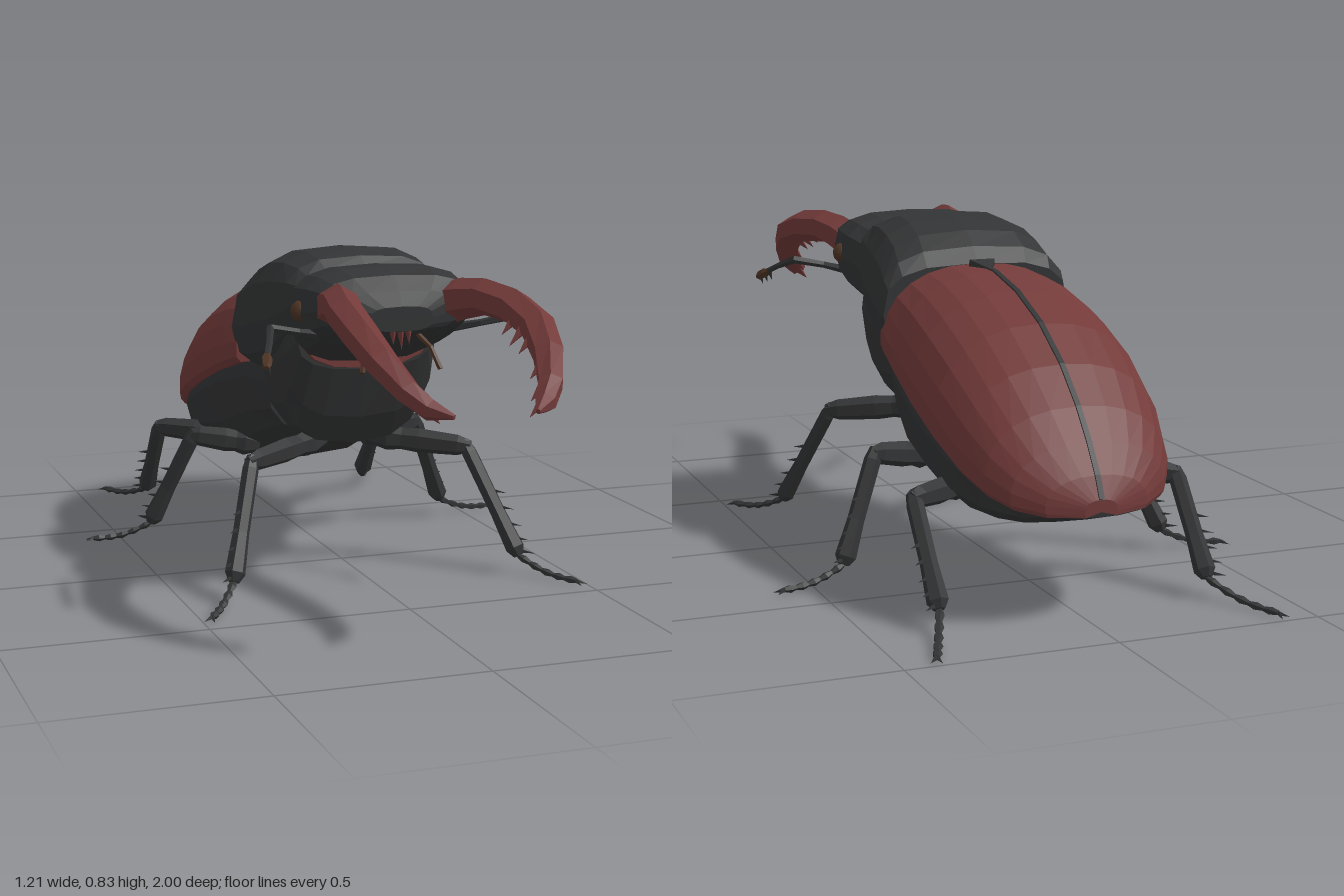
import * as THREE from 'three';

const V = (x, y, z) => new THREE.Vector3(x, y, z);

// Skin a list of closed rings, with a fan cap on both ends, in flat facets
function loft(rings) {
  const pos = [], tri = (...p) => p.forEach(v => pos.push(v.x, v.y, v.z));
  const n = rings[0].length;
  const mid = r => r.reduce((s, p) => s.add(p), V(0, 0, 0)).divideScalar(n);
  const first = rings[0], last = rings[rings.length - 1], c0 = mid(first), c1 = mid(last);
  for (let j = 0; j < n; j++) {
    const k = (j + 1) % n;
    for (let i = 0; i < rings.length - 1; i++) {
      const a = rings[i], b = rings[i + 1];
      tri(a[j], b[j], a[k]);
      tri(a[k], b[j], b[k]);
    }
    tri(c0, first[j], first[k]);
    tri(c1, last[k], last[j]);
  }
  const g = new THREE.BufferGeometry();
  g.setAttribute('position', new THREE.Float32BufferAttribute(pos, 3));
  g.computeVertexNormals();
  return g;
}

// Rounded cross-section point: half width w, top, widest height and bottom
function arcPoint(a, z, w, top, mid, bottom, p) {
  const c = Math.cos(a), s = Math.sin(a);
  const h = s > 0 ? top - mid : mid - bottom;
  return V(w * Math.sign(c) * Math.abs(c) ** p, mid + h * Math.sign(s) * Math.abs(s) ** p, z);
}

// Body segment from stations [z, halfWidth, top, widest, bottom], front to back
const segment = (stations, p = 0.75, n = 16) => loft(stations.map(s =>
  Array.from({ length: n }, (_, j) => arcPoint((j / n) * Math.PI * 2, ...s, p))));

// Tapered tube through points [x, y, z, radius]; flat scales its height
function limb(points, sides = 6, flat = 1) {
  const c = points.map(p => V(p[0], p[1], p[2]));
  return loft(c.map((p, i) => {
    const t = c[Math.min(i + 1, c.length - 1)].clone().sub(c[Math.max(i - 1, 0)]).normalize();
    const ref = Math.abs(t.y) > 0.95 ? V(0, 0, 1) : V(0, 1, 0);
    const v = ref.addScaledVector(t, -ref.dot(t)).normalize();
    const u = t.clone().cross(v);
    return Array.from({ length: sides }, (_, j) => {
      const a = ((j + 0.5) / sides) * Math.PI * 2, r = points[i][3];
      return p.clone().addScaledVector(u, Math.cos(a) * r).addScaledVector(v, Math.sin(a) * r * flat);
    });
  }));
}

// Small spike growing from a base point
function spike(base, dir, length, radius) {
  const g = new THREE.ConeGeometry(radius, length, 4).toNonIndexed();
  g.computeVertexNormals();
  g.translate(0, length / 2, 0);
  g.applyQuaternion(new THREE.Quaternion().setFromUnitVectors(V(0, 1, 0), dir.clone().normalize()));
  return g.translate(base.x, base.y, base.z);
}

export function createModel() {
  const model = new THREE.Group();
  model.name = 'beetle';
  const material = (name, color) => {
    const m = new THREE.MeshStandardMaterial({ color });
    m.name = name;
    return m;
  };
  const black = material('black shell', 0x333435);
  const red = material('chestnut red', 0x733b3a);
  const brown = material('dark brown', 0x503626);
  const add = (name, geometry, mat, parent = model) => {
    const m = new THREE.Mesh(geometry, mat);
    m.name = name;
    parent.add(m);
    return m;
  };

  // Belly, chest, neck shield and head
  add('abdomen', segment([
    [-0.04, 0.19, 0.6, 0.48, 0.335], [-0.15, 0.225, 0.6, 0.48, 0.285], [-0.3, 0.252, 0.6, 0.44, 0.22],
    [-0.45, 0.258, 0.55, 0.39, 0.2], [-0.6, 0.25, 0.5, 0.345, 0.193], [-0.72, 0.225, 0.42, 0.305, 0.208],
    [-0.82, 0.17, 0.33, 0.275, 0.235], [-0.88, 0.08, 0.28, 0.27, 0.255]]), black);
  add('chest', segment([
    [0.185, 0.18, 0.77, 0.62, 0.54], [0.145, 0.2, 0.78, 0.58, 0.41], [0.1, 0.2, 0.78, 0.56, 0.335],
    [0.03, 0.2, 0.78, 0.54, 0.325], [-0.04, 0.2, 0.75, 0.52, 0.35], [-0.08, 0.17, 0.7, 0.52, 0.42]]), black);
  add('pronotum', segment([
    [0.175, 0.19, 0.795, 0.71, 0.64], [0.15, 0.208, 0.822, 0.69, 0.6], [0.07, 0.223, 0.837, 0.66, 0.53],
    [-0.02, 0.236, 0.83, 0.64, 0.495], [-0.09, 0.242, 0.805, 0.62, 0.485], [-0.14, 0.252, 0.77, 0.61, 0.495],
    [-0.162, 0.248, 0.73, 0.61, 0.52]], 0.65), black);
  add('neck', segment([[0.2, 0.182, 0.79, 0.67, 0.545], [0.17, 0.186, 0.79, 0.67, 0.54]]), red);
  add('head', segment([
    [0.435, 0.08, 0.73, 0.7, 0.67], [0.418, 0.15, 0.765, 0.715, 0.665], [0.385, 0.195, 0.8, 0.72, 0.655],
    [0.32, 0.214, 0.815, 0.71, 0.62], [0.24, 0.217, 0.812, 0.7, 0.585], [0.193, 0.19, 0.797, 0.68, 0.56]], 0.65), black);
  for (const x of [-0.02, 0, 0.02])
    add('lipTooth', spike(V(x, 0.675, 0.425), V(0, -1, 0.2), x ? 0.038 : 0.05, 0.01), red);

  // Wing cases: two solid halves meeting along the back [z, halfWidth, top, edge]
  const shell = [
    [-0.13, 0.246, 0.7, 0.52], [-0.16, 0.252, 0.73, 0.51], [-0.28, 0.264, 0.725, 0.47],
    [-0.42, 0.272, 0.695, 0.42], [-0.56, 0.27, 0.64, 0.37], [-0.68, 0.256, 0.565, 0.325],
    [-0.77, 0.229, 0.485, 0.295], [-0.83, 0.19, 0.415, 0.278], [-0.875, 0.125, 0.35, 0.27],
    [-0.9, 0.04, 0.3, 0.272]];
  for (const side of [1, -1]) {
    const from = side > 0 ? -0.35 : Math.PI / 2;
    add(side > 0 ? 'leftWingCase' : 'rightWingCase', loft(shell.map(([z, w, top, edge]) => {
      const middle = edge + (top - edge) * 0.12;
      const ring = Array.from({ length: 9 }, (_, j) =>
        arcPoint(from + (j / 8) * (Math.PI / 2 + 0.35), z, w, top, middle, edge - 0.03, 0.85));
      return [...ring, V(0, edge, z)];
    })), red);
  }
  add('wingSeam', limb(shell.slice(1).map(([z, , top]) => [0, top, z, 0.009]), 4, 0.6), black);
  add('scutellum', limb([[0, 0.735, -0.175, 0.03], [0, 0.736, -0.195, 0.048], [0, 0.728, -0.25, 0.006]], 4, 0.25), black);

  // Paths for one leg: hip, knee, ankle and toe
  const legs = {
    front: [[0.09, 0.335, 0.04], [0.29, 0.315, 0.15], [0.38, 0.05, 0.29], [0.475, 0.012, 0.435]],
    middle: [[0.17, 0.275, -0.255], [0.32, 0.3, -0.295], [0.425, 0.05, -0.365], [0.58, 0.012, -0.39]],
    hind: [[0.17, 0.255, -0.49], [0.335, 0.265, -0.61], [0.335, 0.05, -0.775], [0.415, 0.012, -0.97]],
  };

  for (const side of [1, -1]) {
    const label = side > 0 ? 'left' : 'right';
    const P = (x, y, z) => V(x * side, y, z);
    const path = pts => pts.map(([x, ...rest]) => [x * side, ...rest]);

    for (const [name, joints] of Object.entries(legs)) {
      const leg = new THREE.Group();
      leg.name = `${label} ${name} leg`;
      model.add(leg);
      const [hip, knee, ankle, toe] = joints.map(j => P(...j));
      const along = (a, b, stops) => limb(stops.map(([t, r]) => [...a.clone().lerp(b, t).toArray(), r]));
      add('hipJoint', along(hip, knee, [[-0.15, 0.02], [0.1, 0.035], [0.35, 0.025]]), black, leg);
      add('thigh', along(hip, knee, [[0, 0.024], [0.45, 0.032], [0.9, 0.027], [1.05, 0.016]]), black, leg);
      add('shin', along(knee, ankle, [[-0.05, 0.014], [0.06, 0.021], [0.6, 0.021], [0.93, 0.026], [1, 0.014]]), black, leg);
      // Spines down the outer edge of the shin
      const down = ankle.clone().sub(knee).normalize();
      const out = name === 'front' ? P(0.8, 0.3, 0.5) : name === 'middle' ? P(0.6, 0.5, -0.5) : P(0.9, 0.3, -0.3);
      for (const t of [0.4, 0.55, 0.7, 0.83, 0.95])
        add('shinSpine', spike(knee.clone().lerp(ankle, t), out.clone().addScaledVector(down, 0.5), 0.05, 0.009), black, leg);
      // Beaded foot that sags towards the ground, ending in two claws
      const foot = [];
      for (let i = 0; i <= 10; i++) {
        const t = i / 10, p = ankle.clone().lerp(toe, t);
        foot.push([p.x, p.y - 0.012 * Math.sin(t * Math.PI), p.z, i % 2 ? 0.012 : 0.007]);
      }
      add('foot', limb(foot, 5, 0.8), black, leg);
      const ahead = toe.clone().sub(ankle).setY(0).normalize();
      const across = V(-ahead.z, 0, ahead.x);
      for (const k of [-0.6, 0.6])
        add('claw', spike(toe, ahead.clone().addScaledVector(across, k).add(V(0, -0.3, 0)), 0.027, 0.006), black, leg);
    }

    // Antler-like jaw with teeth along the inner edge
    const jaw = new THREE.Group();
    jaw.name = `${label} jaw`;
    model.add(jaw);
    add('jawBlade', limb(path([
      [0.145, 0.725, 0.37, 0.052], [0.16, 0.742, 0.43, 0.05], [0.182, 0.755, 0.51, 0.044], [0.207, 0.745, 0.62, 0.043],
      [0.213, 0.715, 0.74, 0.041], [0.198, 0.668, 0.83, 0.037], [0.168, 0.615, 0.91, 0.03],
      [0.135, 0.583, 0.955, 0.025], [0.097, 0.573, 1.0, 0.006]])), red, jaw);
    for (const [x, y, z, len] of [[0.185, 0.72, 0.665, 0.045], [0.185, 0.705, 0.715, 0.05], [0.185, 0.69, 0.76, 0.045],
      [0.17, 0.645, 0.85, 0.04], [0.15, 0.605, 0.9, 0.04], [0.135, 0.58, 0.935, 0.045]])
      add('jawTooth', spike(P(x, y, z), P(-0.7, -0.75, 0.1), len, 0.014), red, jaw);

    // Eye, feeler and mouth palp
    const eye = new THREE.IcosahedronGeometry(0.028, 1);
    add(`${label}Eye`, eye, brown).position.copy(P(0.203, 0.71, 0.29));
    add(`${label}Feeler`, limb(path([[0.17, 0.655, 0.32, 0.012], [0.235, 0.67, 0.36, 0.009],
      [0.31, 0.685, 0.378, 0.011], [0.335, 0.66, 0.45, 0.008], [0.352, 0.642, 0.49, 0.008]]), 5), black);
    add(`${label}FeelerClub`, limb(path([[0.35, 0.643, 0.485, 0.007], [0.358, 0.634, 0.505, 0.013],
      [0.366, 0.624, 0.53, 0.012], [0.37, 0.62, 0.54, 0.006]]), 5), brown);
    for (const t of [0, 1, 2])
      add('clubTooth', spike(P(0.35 + t * 0.007, 0.64 - t * 0.008, 0.485 + t * 0.02), P(-0.3, -1, 0.3), 0.026, 0.007), black);
    add(`${label}Palp`, limb(path([[0.06, 0.66, 0.36, 0.007], [0.085, 0.625, 0.41, 0.006], [0.1, 0.575, 0.435, 0.007]]), 5), brown);
  }
  return model;
}
